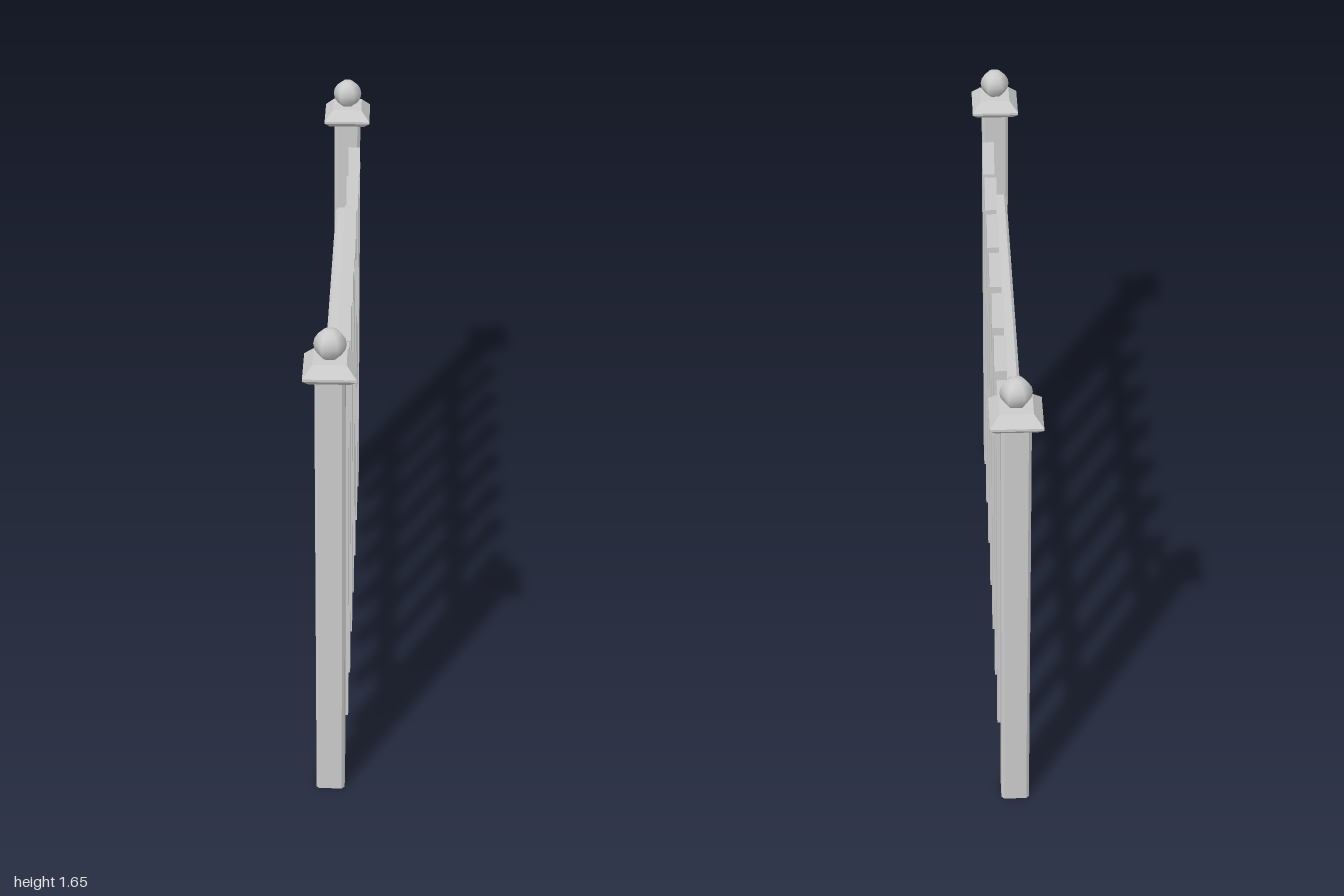
import * as THREE from 'three';

const flat = new THREE.MeshStandardMaterial({ color: 0xcccccc, flatShading: true, side: THREE.DoubleSide });
const smooth = new THREE.MeshStandardMaterial({ color: 0xcccccc });

function add(parent, name, geometry, material = flat) {
  const mesh = new THREE.Mesh(geometry, material);
  mesh.name = name;
  parent.add(mesh);
  return mesh;
}

// Rectangular section with chamfered corners, at height y
function section(hx, hz, c, y) {
  const pts = c > 0
    ? [[hx, -hz + c], [hx, hz - c], [hx - c, hz], [-hx + c, hz], [-hx, hz - c], [-hx, -hz + c], [-hx + c, -hz], [hx - c, -hz]]
    : [[hx, -hz], [hx, hz], [-hx, hz], [-hx, -hz]];
  return pts.map(([x, z]) => [x, y, z]);
}

// Open-ended walls between successive sections; the last can be closed
function loft(rings, closeTop = false) {
  const pos = [];
  const n = rings[0].length;
  for (let r = 0; r < rings.length - 1; r++) {
    for (let i = 0; i < n; i++) {
      const j = (i + 1) % n;
      const a = rings[r][i], b = rings[r + 1][i], c = rings[r + 1][j], d = rings[r][j];
      pos.push(...a, ...b, ...c, ...a, ...c, ...d);
    }
  }
  const top = rings[rings.length - 1];
  if (closeTop) for (let i = 1; i < n - 1; i++) pos.push(...top[0], ...top[i + 1], ...top[i]);
  const g = new THREE.BufferGeometry();
  g.setAttribute('position', new THREE.Float32BufferAttribute(pos, 3));
  g.computeVertexNormals();
  return g;
}

function makePost(z) {
  const post = new THREE.Group();
  post.name = 'post';
  add(post, 'postShaft', loft([section(0.045, 0.045, 0.009, 0), section(0.045, 0.045, 0.009, 1.51)]));
  // Flared square cap: [half width, height]
  const profile = [[0.04, 1.505], [0.062, 1.505], [0.079, 1.522], [0.079, 1.53], [0.05, 1.563]];
  add(post, 'postCap', loft(profile.map(([w, y]) => section(w, w, 0, y)), true));
  // Six-sided ball finial
  add(post, 'ballFinial', new THREE.SphereGeometry(0.049, 6, 8), smooth).position.y = 1.606;
  post.position.z = z;
  return post;
}

function makePicket(z) {
  const picket = new THREE.Group();
  picket.name = 'picket';
  add(picket, 'picketShaft', loft([section(0.02, 0.021, 0, 0.112), section(0.02, 0.021, 0, 1.4)]));
  // Triangular arrow head
  const tri = new THREE.Shape([
    new THREE.Vector2(-0.048, 1.395), new THREE.Vector2(0.048, 1.395), new THREE.Vector2(0, 1.495),
  ]);
  const head = new THREE.ExtrudeGeometry(tri, { depth: 0.04, bevelEnabled: false });
  head.translate(0, 0, -0.02).rotateY(Math.PI / 2);
  add(picket, 'picketHead', head);
  picket.position.set(0.03, 0, z);
  return picket;
}

export function createModel() {
  const fence = new THREE.Group();
  fence.name = 'fencePanel';

  for (const z of [0.921, -0.921]) fence.add(makePost(z));

  // Horizontal chamfered rails between the posts
  for (const y of [0.49, 1.148]) {
    const g = loft([section(0.025, 0.031, 0.009, -0.885), section(0.025, 0.031, 0.009, 0.885)]);
    g.rotateX(Math.PI / 2);
    add(fence, 'rail', g).position.set(-0.015, y, 0);
  }

  for (let i = -3; i <= 3; i++) fence.add(makePicket(i * 0.235));
  return fence;
}
